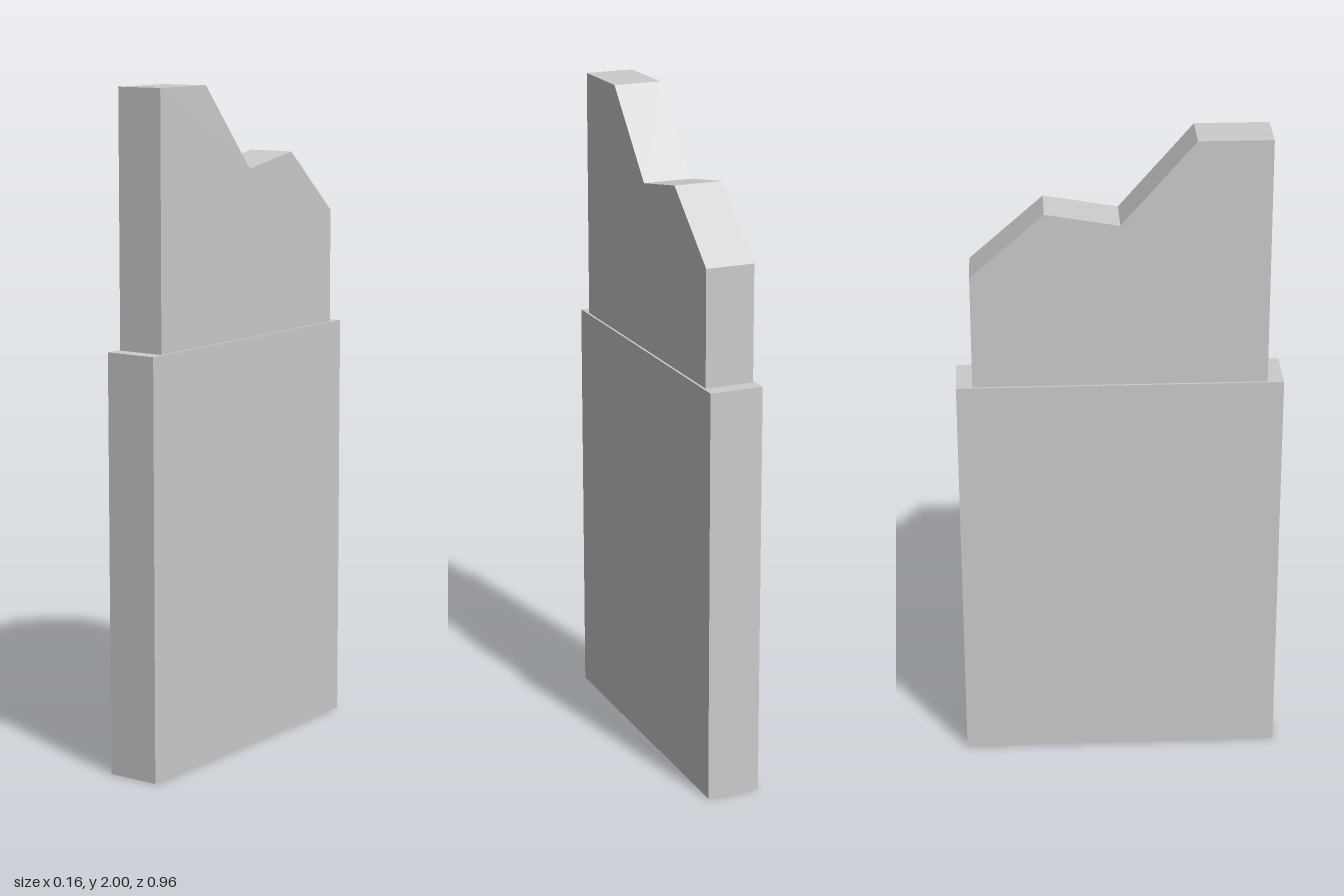
import * as THREE from 'three';

export function createModel() {
  const model = new THREE.Group();
  const material = new THREE.MeshStandardMaterial({ color: 0xcccccc, flatShading: true });

  // Flat rectangular lower block
  const bodyHeight = 1.25;
  const body = new THREE.Mesh(new THREE.BoxGeometry(0.162, bodyHeight, 0.962), material);
  body.name = 'body';
  body.position.y = bodyHeight / 2;
  model.add(body);

  // Slightly thinner upper plate with a notched top edge, drawn as (z, y)
  const thickness = 0.148;
  const profile = new THREE.Shape([
    [-0.433, bodyHeight], [0.433, bodyHeight], [0.433, 2], [0.217, 2],
    [0, 1.75], [-0.217, 1.788], [-0.433, 1.597],
  ].map(([z, y]) => new THREE.Vector2(z, y)));
  const plateGeometry = new THREE.ExtrudeGeometry(profile, { depth: thickness, bevelEnabled: false });
  plateGeometry.translate(0, 0, -thickness / 2).rotateY(-Math.PI / 2);
  const plate = new THREE.Mesh(plateGeometry, material);
  plate.name = 'notchedPlate';
  model.add(plate);

  return model;
}
